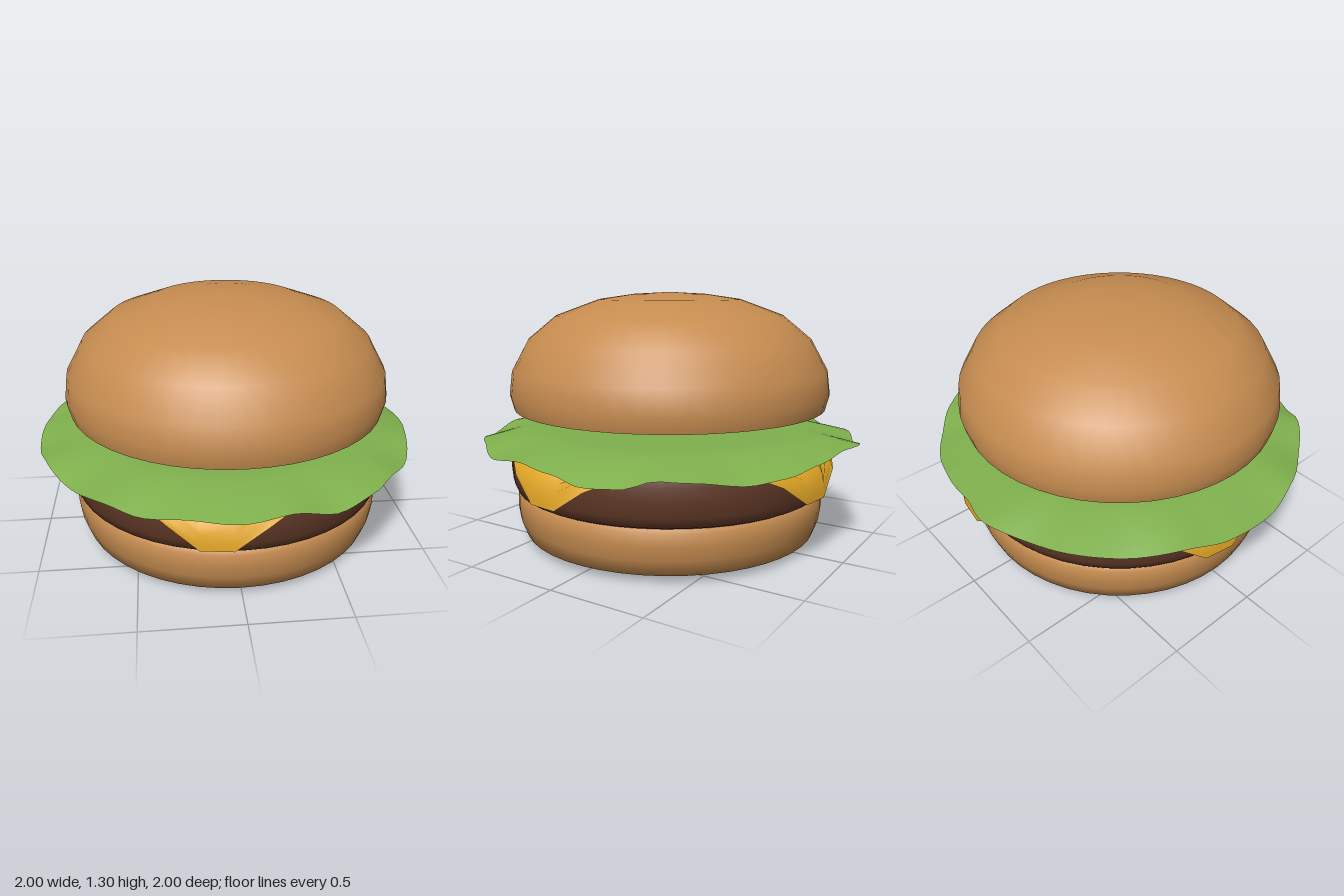
import * as THREE from 'three';

const material = (name, color, side = THREE.FrontSide) => {
  const m = new THREE.MeshStandardMaterial({ color, side });
  m.name = name;
  return m;
};

// Round part from a [radius, height] profile; a repeated point makes a sharp edge.
function turned(name, profile, mat) {
  const points = profile.map(([r, y]) => new THREE.Vector2(r, y));
  const mesh = new THREE.Mesh(new THREE.LatheGeometry(points, 48), mat);
  mesh.name = name;
  return mesh;
}

// Thin sheet on a polar grid; rule(angle, t) gives [radius, height] with t from centre to rim.
function sheet(name, rings, segments, startAngle, rule, mat) {
  const positions = [], index = [];
  for (let i = 0; i <= rings; i++) {
    for (let j = 0; j < segments; j++) {
      const angle = startAngle + (j / segments) * Math.PI * 2;
      const [r, y] = rule(angle, i / rings);
      positions.push(r * Math.cos(angle), y, r * Math.sin(angle));
      if (i === rings) continue;
      const a = i * segments + j, d = i * segments + (j + 1) % segments;
      const b = a + segments, c = d + segments;
      if (i > 0) index.push(a, d, c);
      index.push(a, c, b);
    }
  }
  const geometry = new THREE.BufferGeometry();
  geometry.setAttribute('position', new THREE.Float32BufferAttribute(positions, 3));
  geometry.setIndex(index);
  geometry.computeVertexNormals();
  const mesh = new THREE.Mesh(geometry, mat);
  mesh.name = name;
  return mesh;
}

// Lettuce rim: [degrees from +x towards +z, radius, height]
const RIM = [
  [0, 0.985, 0.53], [12, 0.97, 0.545], [30, 0.985, 0.51], [42, 0.98, 0.535], [53, 1.0, 0.53],
  [65, 1.0, 0.505], [78, 0.98, 0.545], [92, 1.0, 0.53], [105, 0.975, 0.53], [119, 0.985, 0.51],
  [128, 1.0, 0.54], [145, 0.98, 0.505], [160, 0.99, 0.53], [174, 1.0, 0.5], [191, 1.01, 0.52],
  [203, 1.005, 0.545], [218, 0.98, 0.51], [233, 1.0, 0.535], [246, 0.98, 0.52], [259, 1.015, 0.555],
  [270, 0.97, 0.555], [283, 0.97, 0.535], [297, 0.98, 0.51], [307, 0.98, 0.5], [323, 1.0, 0.535],
  [331, 1.005, 0.545], [340, 1.01, 0.505], [349, 1.015, 0.5],
];

function rimAt(angle) {
  const deg = ((THREE.MathUtils.radToDeg(angle) % 360) + 360) % 360;
  let k = RIM.length - 1;
  while (RIM[k][0] > deg) k--;
  const a = RIM[k], b = RIM[(k + 1) % RIM.length];
  const f = THREE.MathUtils.smoothstep(deg, a[0], b[0] || 360);
  return [a[1] + (b[1] - a[1]) * f, a[2] + (b[2] - a[2]) * f];
}

// Lettuce: flat in the middle, ruffled and drooping towards the rim
function lettuceRule(angle, t) {
  const [radius, height] = rimAt(angle);
  const s = Math.max(0, (t - 0.7) / 0.3);
  return [radius * t, 0.588 - (0.588 - height) * Math.pow(s, 1.4)];
}

// Cheese: a turned square whose corners fold down over the patty
const CHEESE_TURN = THREE.MathUtils.degToRad(8.2);
function cheeseRule(angle, t) {
  const quarter = Math.PI / 2;
  const fromCorner = (((angle - CHEESE_TURN) % quarter) + quarter) % quarter;
  const flat = 0.81 / Math.cos(fromCorner - quarter / 2);
  const r = flat * t, over = r - 0.84;
  if (over <= 0) return [r, 0.522];
  return [0.84 + 0.07 * (1 - Math.exp(-over / 0.05)), 0.522 - 0.88 * over];
}

export function createModel() {
  const bun = material('bun', 0xc68c50);
  const patty = material('patty', 0x5e3726);
  const cheese = material('cheese', 0xe0a526, THREE.DoubleSide);
  const lettuce = material('lettuce', 0x7fb04d, THREE.DoubleSide);

  const burger = new THREE.Group();
  burger.name = 'burger';
  burger.add(
    turned('bottomBun', [
      [0, 0], [0.68, 0], [0.68, 0], [0.785, 0.04], [0.815, 0.12], [0.825, 0.19],
      [0.822, 0.25], [0.8, 0.272], [0.8, 0.272], [0, 0.272],
    ], bun),
    turned('patty', [
      [0, 0.262], [0.79, 0.262], [0.79, 0.262], [0.825, 0.28], [0.845, 0.33], [0.852, 0.4],
      [0.85, 0.47], [0.835, 0.502], [0.8, 0.51], [0.8, 0.51], [0, 0.512],
    ], patty),
    sheet('cheeseSlice', 24, 36, CHEESE_TURN + THREE.MathUtils.degToRad(5), cheeseRule, cheese),
    sheet('lettuceLeaf', 20, 120, 0, lettuceRule, lettuce),
    turned('topBun', [
      [0, 0.703], [0.828, 0.703], [0.828, 0.703], [0.848, 0.78], [0.833, 0.9], [0.745, 1.06],
      [0.6, 1.18], [0.375, 1.263], [0.19, 1.29], [0, 1.3],
    ], bun),
  );
  return burger;
}
